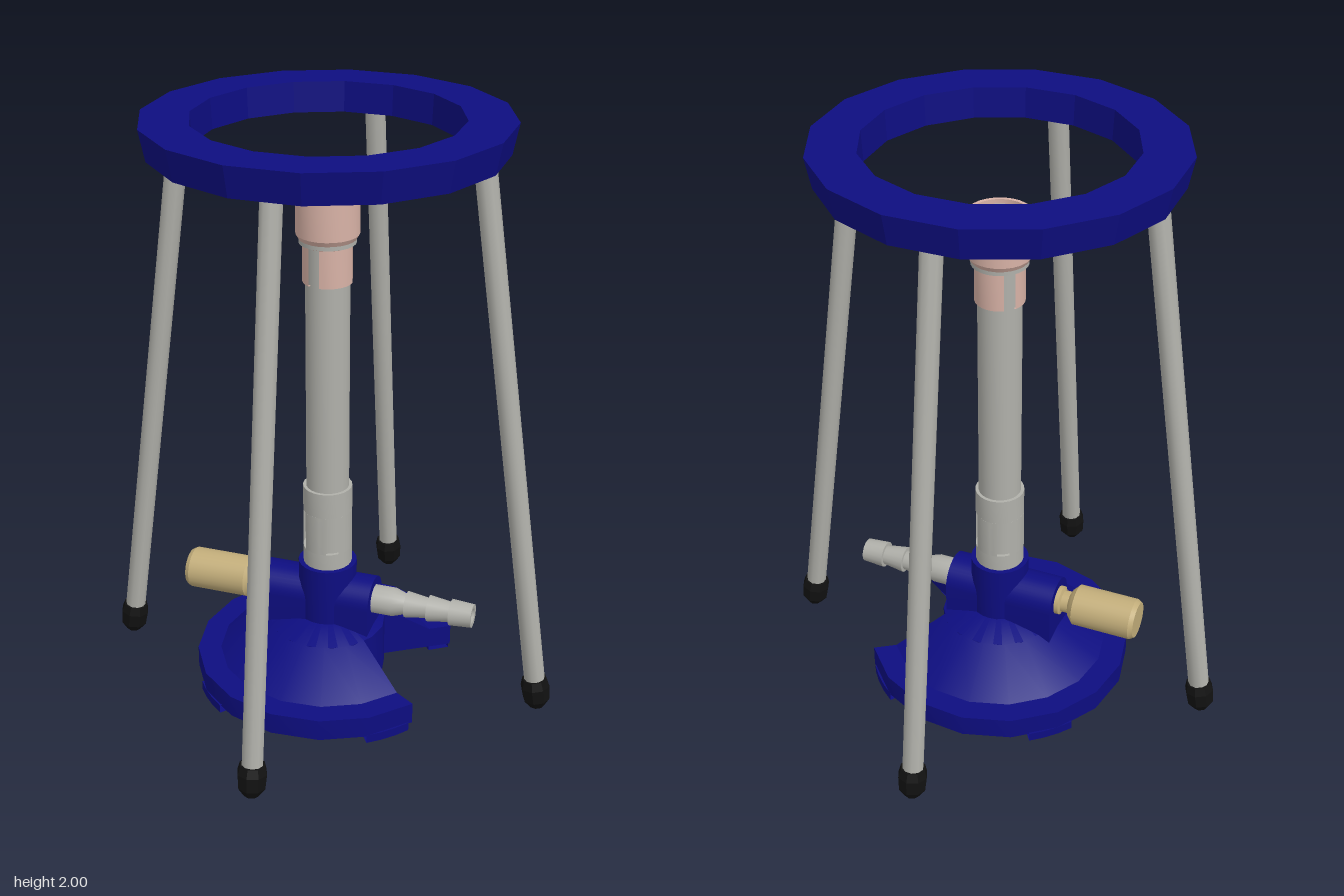
import * as THREE from 'three';
import { toCreasedNormals } from 'three/addons/utils/BufferGeometryUtils.js';

function material(name, color) {
  const m = new THREE.MeshStandardMaterial({ color, side: THREE.DoubleSide });
  m.name = name;
  return m;
}

const rad = THREE.MathUtils.degToRad;

export function createModel() {
  const blue = material('blue enamel', 0x0d0d80);
  const steel = material('steel', 0xb0b0aa);
  const copper = material('pale copper', 0xd8b2a6);
  const brass = material('brass', 0xc2ad7a);
  const rubber = material('black rubber', 0x111111);
  const model = new THREE.Group();

  function add(parent, name, geometry, mat, crease = 0.5) {
    const mesh = new THREE.Mesh(toCreasedNormals(geometry, crease), mat);
    mesh.name = name;
    parent.add(mesh);
    return mesh;
  }
  // Turned profile of [radius, height] pairs, listed anticlockwise
  function turned(points, sides = 24, start = 0, length = Math.PI * 2) {
    return new THREE.LatheGeometry(points.map(p => new THREE.Vector2(...p)), sides, start, length);
  }
  const pipe = (ri, ro, y0, y1) => [[ri, y0], [ro, y0], [ro, y1], [ri, y1], [ri, y0]];

  // Wall pieces left standing between evenly spaced slots
  function slottedWall(name, ri, ro, y0, y1, count, centre, slotAngle, mat) {
    for (let i = 0; i < count; i++) {
      const start = centre + slotAngle / 2 + i * Math.PI * 2 / count;
      add(model, name, turned(pipe(ri, ro, y0, y1), 7, start, Math.PI * 2 / count - slotAngle), mat);
    }
  }

  // Support ring, faceted
  add(model, 'supportRing', turned(
    [[0.42, 1.9], [0.56, 1.9], [0.58, 2], [0.425, 2], [0.42, 1.9]], 16, Math.PI / 16), blue, 0.2);

  // Four splayed legs with rubber feet
  for (let i = 0; i < 4; i++) {
    const turn = new THREE.Group();
    turn.name = 'leg';
    turn.rotation.y = i * Math.PI / 2;
    const lean = new THREE.Group();
    lean.position.set(0.755, 0.012, 0);
    lean.rotation.z = Math.atan(0.25 / 1.8);
    turn.add(lean);
    model.add(turn);
    add(lean, 'legRod', turned([[0, 0.05], [0.035, 0.05], [0.035, 1.92], [0, 1.92]], 10), steel, 0.7);
    add(lean, 'rubberFoot', turned(
      [[0, 0], [0.025, 0], [0.046, 0.03], [0.05, 0.08], [0.042, 0.11], [0, 0.11]], 8), rubber, 0.3);
  }

  // Domed base with a wedge cut out on the hose side
  const cut = rad(33);
  const profile = [[0, 0.025], [0.455, 0.025], [0.455, 0.1], [0.375, 0.1], [0.2, 0.215], [0.1, 0.245], [0, 0.25]];
  add(model, 'base', turned(profile, 14, Math.PI / 2 + cut, Math.PI * 2 - 2 * cut), blue, 0.48);
  const section = new THREE.Shape(profile.map(p => new THREE.Vector2(...p)));
  for (const s of [-1, 1]) {
    add(model, 'baseCutFace', new THREE.ShapeGeometry(section), blue).rotation.y = s * cut;
  }
  add(model, 'baseHub', turned([[0, 0.025], [0.2, 0.025], [0.2, 0.215], [0.1, 0.245], [0, 0.25]], 16), blue);
  for (let i = 0; i < 4; i++) {
    add(model, 'basePad', turned(pipe(0.38, 0.455, 0, 0.03), 3, rad(35 + 90 * i), rad(20)), blue);
  }

  // Arched valve body running along x
  const arch = new THREE.Shape();
  arch.moveTo(-0.085, 0.15);
  arch.lineTo(0.085, 0.15);
  arch.lineTo(0.085, 0.315);
  arch.absarc(0, 0.315, 0.085, 0, Math.PI, false);
  arch.lineTo(-0.085, 0.15);
  const body = new THREE.ExtrudeGeometry(arch, { depth: 0.39, bevelEnabled: false, curveSegments: 10 });
  body.rotateY(Math.PI / 2).translate(-0.22, 0, 0);
  add(model, 'valveBody', body, blue);
  add(model, 'post', turned([[0, 0.2], [0.1, 0.2], [0.1, 0.45], [0.06, 0.45], [0.055, 0.4], [0, 0.4]]), blue);

  // Burner tube and its slotted air collar
  add(model, 'burnerTube', turned(pipe(0.055, 0.072, 0.4, 1.6)), steel);
  add(model, 'collarBottom', turned(pipe(0.072, 0.083, 0.45, 0.51)), steel);
  add(model, 'collarTop', turned(pipe(0.072, 0.083, 0.65, 0.74)), steel);
  slottedWall('collarWall', 0.072, 0.083, 0.51, 0.65, 4, rad(30), rad(30), steel);

  // Burner head: split sleeve, wide cap and inner lining
  slottedWall('headSleeve', 0.07, 0.081, 1.47, 1.6, 3, rad(225), rad(28), copper);
  add(model, 'headCap', turned(
    [[0.075, 1.595], [0.081, 1.595], [0.102, 1.63], [0.102, 1.77], [0.09, 1.77], [0.09, 1.63], [0.075, 1.595]]), copper);
  add(model, 'headLining', turned(pipe(0.055, 0.092, 1.6, 1.755)), steel);

  // Brass needle valve on the -x side
  const valve = turned([[0, 0], [0.05, 0], [0.05, 0.025], [0.038, 0.03], [0.038, 0.055], [0.05, 0.06],
    [0.06, 0.07], [0.071, 0.08], [0.071, 0.285], [0.062, 0.3], [0, 0.3]]);
  valve.rotateZ(Math.PI / 2).translate(-0.21, 0.322, 0);
  add(model, 'needleValve', valve, brass);

  // Barbed hose inlet on the +x side, hollow at the tip
  const inlet = [[0, 0], [0.05, 0], [0.05, 0.08], [0.035, 0.125]];
  for (let i = 0; i < 3; i++) {
    const y = 0.125 + i * 0.078;
    inlet.push([0.046, y], [i < 2 ? 0.035 : 0.041, y + 0.077]);
  }
  inlet.push([0.026, 0.357], [0.026, 0.2], [0, 0.2]);
  // Reverse each barb so it widens toward the valve body
  const hose = turned(inlet, 16);
  hose.rotateZ(-Math.PI / 2).translate(0.16, 0.322, 0);
  add(model, 'hoseInlet', hose, steel);

  return model;
}
